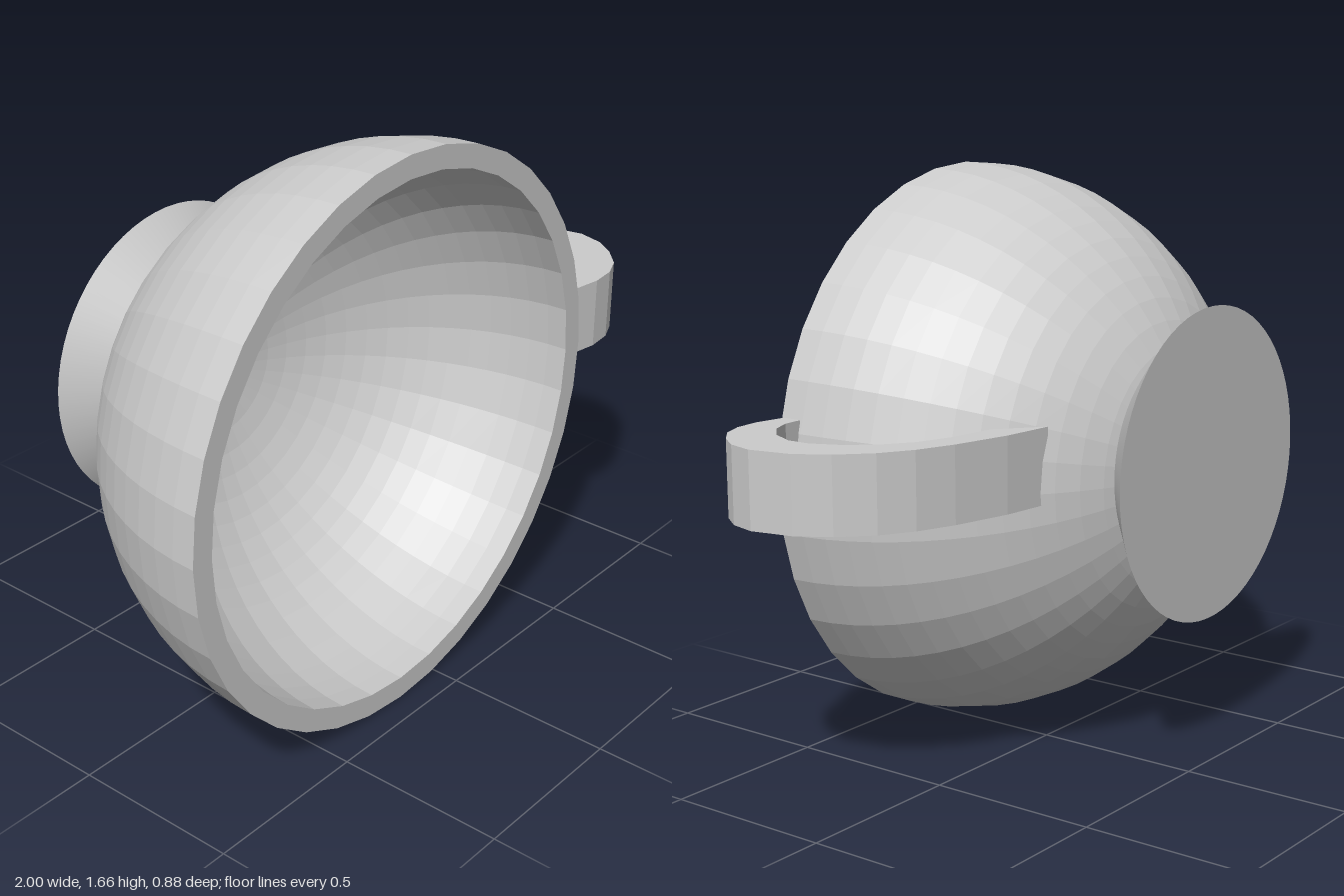
import * as THREE from 'three';

export function createModel() {
  const group = new THREE.Group();
  const flat = new THREE.MeshStandardMaterial({ color: 0xcccccc, flatShading: true });
  const smooth = new THREE.MeshStandardMaterial({ color: 0xcccccc });

  const add = (name, geometry, material, x, y, z) => {
    const mesh = new THREE.Mesh(geometry, material);
    mesh.name = name;
    mesh.position.set(x, y, z);
    group.add(mesh);
  };

  // Bowl: hollow hemisphere on its side, opening towards +z, thicker at the base
  const rings = 18;
  const arc = (radius, depth) => Array.from({ length: rings + 1 }, (_, i) => {
    const a = (i / rings) * Math.PI / 2;
    return new THREE.Vector2(radius * Math.sin(a), -depth * Math.cos(a));
  });
  const profile = [...arc(0.832, 0.832), ...arc(0.765, 0.7).reverse()];
  add('bowl', new THREE.LatheGeometry(profile, 36).rotateX(Math.PI / 2), flat, -0.168, 0.833, 0.425);

  // Foot: flared solid disc sunk into the back of the bowl
  const foot = new THREE.CylinderGeometry(0.315, 0.452, 0.115, 64).rotateX(Math.PI / 2);
  add('foot', foot, smooth, -0.183, 0.849, -0.383);

  // Handle: curved band, outlined in x and z, extruded along y
  const outer = [
    [0.31, -0.235], [0.47, -0.22], [0.64, -0.182], [0.75, -0.143], [0.84, -0.09], [0.92, -0.012],
    [0.975, 0.078], [1, 0.2], [0.98, 0.28], [0.935, 0.345], [0.875, 0.4], [0.81, 0.428],
    [0.73, 0.435], [0.64, 0.42],
  ];
  const inner = [
    [0.64, 0.36], [0.7, 0.357], [0.76, 0.332], [0.82, 0.275], [0.855, 0.2], [0.853, 0.13],
    [0.815, 0.045], [0.75, -0.03], [0.675, -0.083], [0.57, -0.117], [0.43, -0.135],
  ];
  const outline = new THREE.Shape([...outer, ...inner].map(([x, z]) => new THREE.Vector2(x, z)));
  const handle = new THREE.ExtrudeGeometry(outline, { depth: 0.213, bevelEnabled: false });
  add('handle', handle.rotateX(Math.PI / 2), flat, 0, 1.014, 0);

  return group;
}
